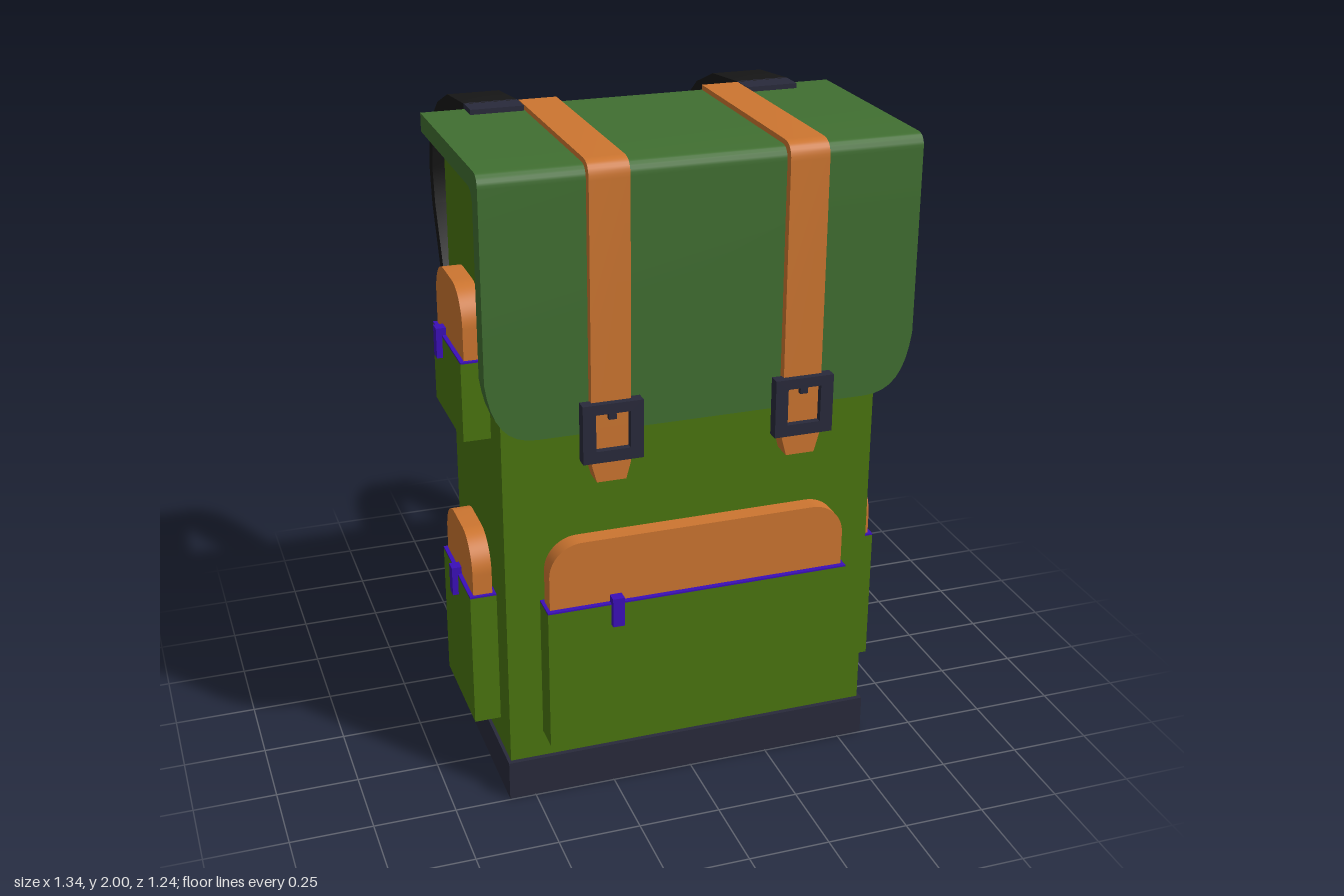
import * as THREE from 'three';
import { toCreasedNormals } from 'three/addons/utils/BufferGeometryUtils.js';

const mat = (color) => new THREE.MeshStandardMaterial({ color });
const canvas = mat(0x4a750f), flapGreen = mat(0x406e31), leather = mat(0xcc7530);
const navy = mat(0x292a3b), webbing = mat(0x171717), purple = mat(0x3b0fb8);

function add(parent, name, geometry, material) {
  const mesh = new THREE.Mesh(geometry, material);
  mesh.name = name;
  parent.add(mesh);
  return mesh;
}

// Box given by its limits on each axis
function box(parent, name, material, [x0, x1], [y0, y1], [z0, z1]) {
  const g = new THREE.BoxGeometry(x1 - x0, y1 - y0, z1 - z0);
  g.translate((x0 + x1) / 2, (y0 + y1) / 2, (z0 + z1) / 2);
  return add(parent, name, g, material);
}

// Outline in x,y pushed from z0 to z1
function slab(shape, z0, z1) {
  const g = new THREE.ExtrudeGeometry(shape, { depth: z1 - z0, bevelEnabled: false, curveSegments: 8 });
  g.translate(0, 0, z0);
  return toCreasedNormals(g, 0.5);
}

// Outline in z,y swept along x, centred on cx
function sideSweep(shape, cx, width) {
  const g = slab(shape, -width / 2, width / 2);
  g.rotateY(-Math.PI / 2);
  g.translate(cx, 0, 0);
  return g;
}

const polygon = (pts) => new THREE.Shape(pts.map(([x, y]) => new THREE.Vector2(x, y)));

// Bent band: runs forward over the top, then down the front
function bentBand(back, front, top, bottom, tz, ty, outerR, innerR) {
  const s = new THREE.Shape();
  s.moveTo(back, top - ty);
  s.lineTo(front - tz - innerR, top - ty);
  s.quadraticCurveTo(front - tz, top - ty, front - tz, top - ty - innerR);
  s.lineTo(front - tz, bottom);
  s.lineTo(front, bottom);
  s.lineTo(front, top - outerR);
  s.quadraticCurveTo(front, top, front - outerR, top);
  s.lineTo(back, top);
  s.closePath();
  return s;
}

// Pocket facing +z, with its back on z = 0
function pocket(name, { w, y0, y1, depth, flapW, flapTop, flapZ, r, claspX }) {
  const p = new THREE.Group();
  p.name = name;
  box(p, 'pouch', canvas, [-w / 2, w / 2], [y0, y1 - 0.005], [-0.01, depth]);
  box(p, 'pouchTrim', purple, [-w / 2, w / 2], [y1 - 0.005, y1], [-0.01, depth]);
  const h = flapW / 2, s = new THREE.Shape();
  s.moveTo(-h, y1 - 0.02);
  s.lineTo(h, y1 - 0.02);
  s.lineTo(h, flapTop - r);
  s.absarc(h - r, flapTop - r, r, 0, Math.PI / 2);
  s.absarc(-h + r, flapTop - r, r, Math.PI / 2, Math.PI);
  s.closePath();
  add(p, 'pocketFlap', slab(s, flapZ[0], flapZ[1]), leather);
  box(p, 'clasp', purple, [claspX - 0.018, claspX + 0.018], [y1 - 0.07, y1 + 0.022], [flapZ[1] - 0.01, depth + 0.018]);
  return p;
}

// Offset a z,y path to both sides to give a band of even thickness
function ribbon(path, t) {
  const a = [], b = [];
  path.forEach(([z, y], i) => {
    const p = path[Math.max(i - 1, 0)], n = path[Math.min(i + 1, path.length - 1)];
    const dz = n[0] - p[0], dy = n[1] - p[1], l = Math.hypot(dz, dy);
    a.push([z - dy / l * t / 2, y + dz / l * t / 2]);
    b.unshift([z + dy / l * t / 2, y - dz / l * t / 2]);
  });
  return polygon([...a, ...b]);
}

export function createModel() {
  const pack = new THREE.Group();
  pack.name = 'backpack';

  // Main bag and base
  box(pack, 'body', canvas, [-0.57, 0.57], [0.1, 1.94], [-0.09, 0.48]);
  box(pack, 'base', navy, [-0.58, 0.58], [0, 0.125], [-0.1, 0.495]);

  // Lid: bent sheet with a round-cornered lower panel
  const lid = new THREE.Group();
  lid.name = 'lid';
  pack.add(lid);
  add(lid, 'lidSheet', sideSweep(bentBand(-0.09, 0.58, 1.985, 1.4, 0.06, 0.055, 0.04, 0.05), 0, 1.27), flapGreen);
  const panel = new THREE.Shape();
  panel.moveTo(-0.635, 1.4);
  panel.bezierCurveTo(-0.62, 1.28, -0.58, 1.22, -0.49, 1.22);
  panel.lineTo(0.49, 1.22);
  panel.bezierCurveTo(0.58, 1.22, 0.62, 1.28, 0.635, 1.4);
  panel.closePath();
  add(lid, 'lidPanel', slab(panel, 0.52, 0.58), flapGreen);

  // Closing straps with buckles
  const strapSide = bentBand(-0.09, 0.605, 2, 1.13, 0.06, 0.03, 0.05, 0.01);
  const tip = polygon([[-0.0575, 1.13], [-0.043, 1.077], [0.043, 1.077], [0.0575, 1.13]]);
  const frame = polygon([[-0.088, 1.145], [0.088, 1.145], [0.088, 1.32], [-0.088, 1.32]]);
  frame.holes.push(polygon([[-0.05, 1.18], [-0.05, 1.29], [0.05, 1.29], [0.05, 1.18]]));
  for (const x of [-0.285, 0.285]) {
    const strap = new THREE.Group();
    strap.name = 'closingStrap';
    pack.add(strap);
    add(strap, 'strapBand', sideSweep(strapSide, x, 0.115), leather);
    add(strap, 'strapTip', slab(tip, 0.545, 0.605), leather).position.x = x;
    add(strap, 'buckle', slab(frame, 0.59, 0.625), navy).position.x = x;
    box(strap, 'bucklePin', navy, [x - 0.011, x + 0.011], [1.27, 1.3], [0.59, 0.62]);
  }

  // Shoulder straps
  const path = [[-0.088, 1.978], [-0.305, 1.955], [-0.442, 1.9], [-0.557, 1.815], [-0.593, 1.68], [-0.575, 1.56],
    [-0.476, 1.32], [-0.32, 1.075], [-0.224, 0.895], [-0.129, 0.7], [-0.098, 0.5]];
  for (const x of [-0.425, 0.425]) {
    add(pack, 'shoulderStrap', sideSweep(ribbon(path, 0.045), x, 0.16), webbing);
    box(pack, 'shoulderStrapAnchor', navy, [x - 0.08, x + 0.08], [1.957, 2], [-0.1, -0.018]);
  }

  // Front pocket
  const front = pocket('frontPocket', {
    w: 0.935, y0: 0.21, y1: 0.66, depth: 0.085, flapW: 0.915, flapTop: 0.865, flapZ: [0.015, 0.07], r: 0.1, claspX: -0.258,
  });
  front.position.z = 0.48;
  pack.add(front);

  // Two pockets on each side
  for (const s of [-1, 1]) {
    const shared = { w: 0.345, depth: 0.08, flapW: 0.325, flapZ: [0.01, 0.068], r: 0.11 };
    const lower = pocket('lowerSidePocket', { ...shared, y0: 0.21, y1: 0.64, flapTop: 0.815, claspX: 0 });
    const upper = pocket('upperSidePocket', { ...shared, y0: 1.145, y1: 1.387, flapTop: 1.59, claspX: s * 0.07 });
    for (const p of [lower, upper]) {
      p.rotation.y = s * Math.PI / 2;
      p.position.set(s * 0.57, 0, 0.195);
      pack.add(p);
    }
  }
  return pack;
}
